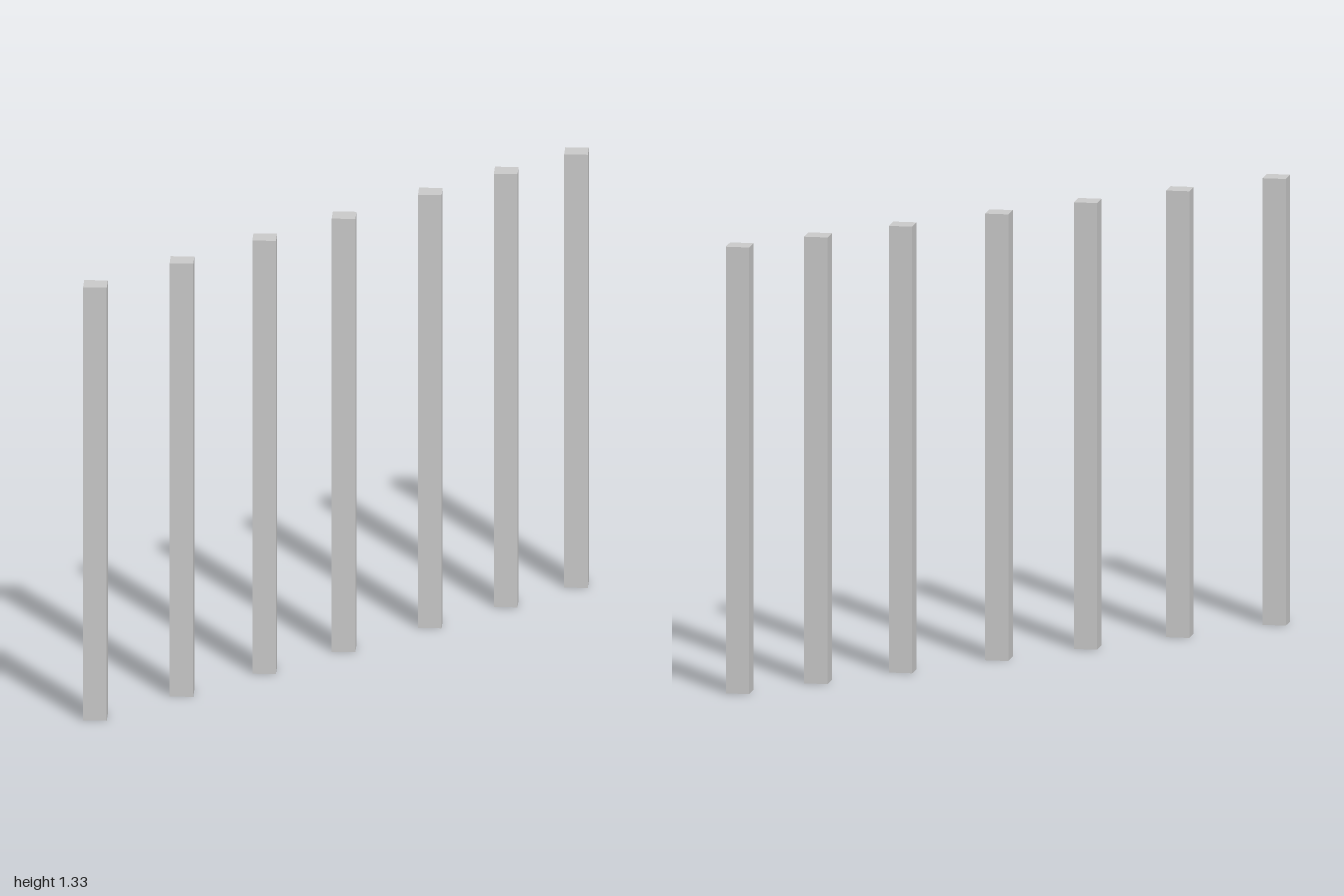
import * as THREE from 'three';

const HEIGHT = 1.33;
const HALF_DIAGONAL = 0.049;
const POST_X = [-0.951, -0.609, -0.282, 0.032, 0.373, 0.673, 0.951];

export function createModel() {
  const group = new THREE.Group();
  group.name = 'postRow';
  const material = new THREE.MeshStandardMaterial({ color: 0xcccccc, flatShading: true });

  // Square post turned 45 degrees, with an edge facing the front
  const side = HALF_DIAGONAL * Math.SQRT2;
  const geometry = new THREE.BoxGeometry(side, HEIGHT, side);
  geometry.rotateY(Math.PI / 4);
  geometry.translate(0, HEIGHT / 2, 0);

  // Row of unevenly spaced posts
  POST_X.forEach((x, i) => {
    const post = new THREE.Mesh(geometry, material);
    post.name = `post${i + 1}`;
    post.position.x = x;
    group.add(post);
  });

  return group;
}
